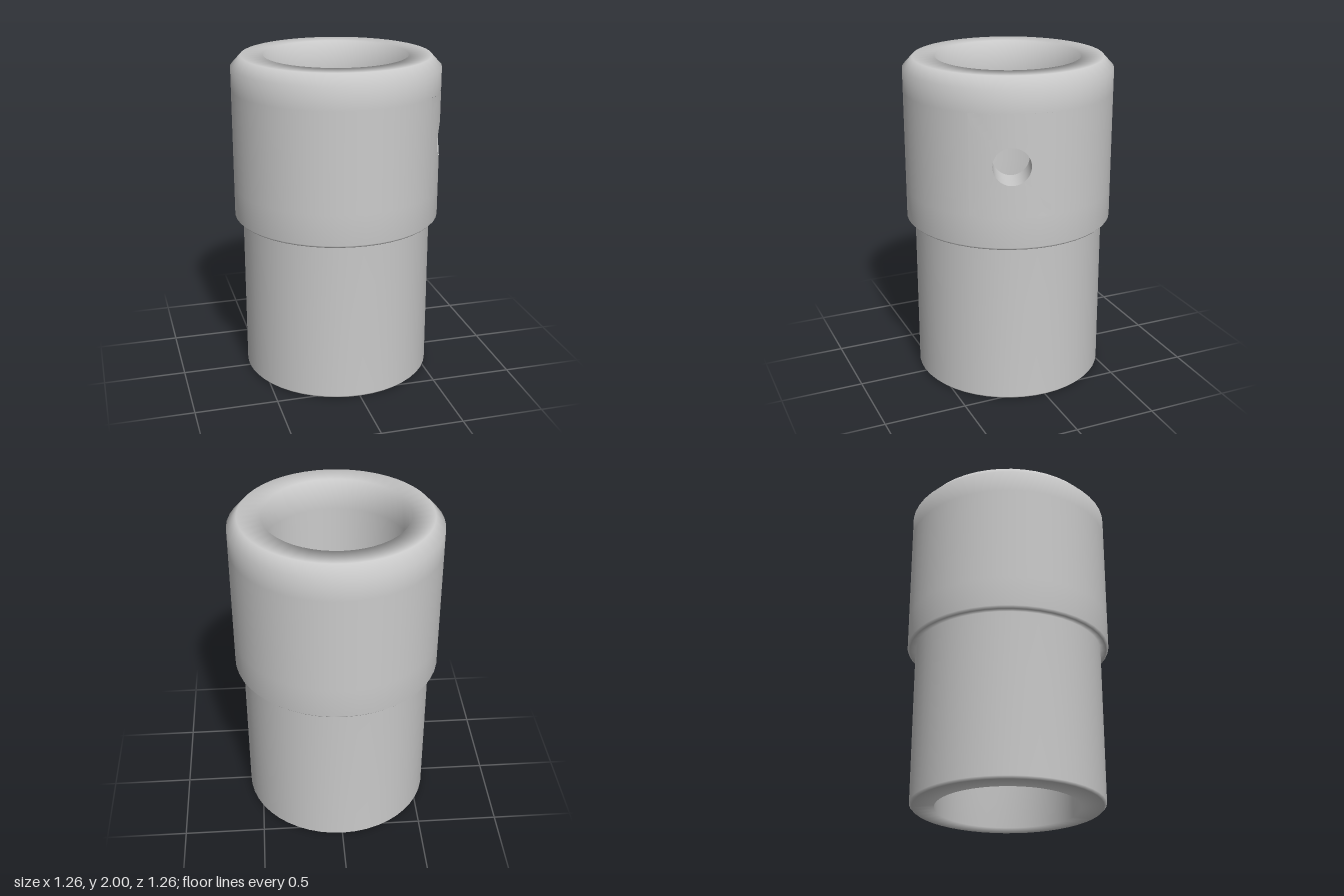
import * as THREE from 'three';

const COLLAR = 0.63, STEM = 0.58, BORE = 0.435;      // radii
const HOLE_R = 0.11, HOLE_Y = 1.5;                   // cross hole
const HOLE_PHI = THREE.MathUtils.degToRad(68.5);     // its direction around y, from +z
const HALF_ANGLE = Math.PI / 8, HALF_HEIGHT = 0.3;   // wall panel around the hole
const SEGMENTS = 48;

const material = new THREE.MeshStandardMaterial({ color: 0xcccccc });

function addMesh(group, name, geometry) {
  const mesh = new THREE.Mesh(geometry, material);
  mesh.name = name;
  group.add(mesh);
}

// Lathe around y that starts beside the hole panel; it may leave the panel out
function turned(profile, skipPanel = false) {
  const points = profile.map(([r, y]) => new THREE.Vector2(r, y));
  const sweep = Math.PI * 2 - (skipPanel ? 2 * HALF_ANGLE : 0);
  const count = skipPanel ? SEGMENTS * 7 / 8 : SEGMENTS;
  return new THREE.LatheGeometry(points, count, HOLE_PHI + HALF_ANGLE, sweep);
}

// Closed curves on a cylinder of radius r, as [angle, height, radius]
const panelEdge = (r) => (t) => {
  const c = Math.cos(t), s = Math.sin(t), m = Math.max(Math.abs(c), Math.abs(s));
  return [HOLE_PHI + HALF_ANGLE * c / m, HOLE_Y + HALF_HEIGHT * s / m, r];
};
const holeEdge = (r) => (t) =>
  [HOLE_PHI + Math.asin(HOLE_R * Math.cos(t) / r), HOLE_Y + HOLE_R * Math.sin(t), r];

// Surface between two such curves
function bridge(from, to, steps) {
  const positions = [], index = [];
  for (let i = 0; i <= steps; i++) {
    for (let k = 0; k < SEGMENTS; k++) {
      const t = k / SEGMENTS * Math.PI * 2, end = to(t);
      const [phi, y, r] = from(t).map((v, n) => THREE.MathUtils.lerp(v, end[n], i / steps));
      positions.push(r * Math.sin(phi), y, r * Math.cos(phi));
      if (i === steps) continue;
      const next = (k + 1) % SEGMENTS;
      const a = i * SEGMENTS + k, b = i * SEGMENTS + next;
      const c = b + SEGMENTS, d = a + SEGMENTS;
      index.push(a, b, d, b, c, d);
    }
  }
  const geometry = new THREE.BufferGeometry();
  geometry.setAttribute('position', new THREE.Float32BufferAttribute(positions, 3));
  geometry.setIndex(index);
  geometry.computeVertexNormals();
  return geometry;
}

export function createModel() {
  const group = new THREE.Group();
  group.name = 'sleeve';
  const low = HOLE_Y - HALF_HEIGHT, high = HOLE_Y + HALF_HEIGHT;

  // Stem with its bore, the step and the lower part of the collar
  addMesh(group, 'stem', turned([
    [BORE, low], [BORE, 0], [STEM - 0.015, 0], [STEM, 0.015], [STEM, 1],
    [COLLAR - 0.015, 1], [COLLAR, 1.015], [COLLAR, low],
  ]));

  // Chamfered top rim
  addMesh(group, 'rim', turned([
    [COLLAR, high], [COLLAR, 1.935], [0.57, 2], [BORE, 2], [BORE, high],
  ]));

  // Collar walls at the height of the hole
  addMesh(group, 'collarWall', turned([[COLLAR, low], [COLLAR, high]], true));
  addMesh(group, 'boreWall', turned([[BORE, high], [BORE, low]], true));

  // Curved panels with the radial screw hole running through to the bore
  addMesh(group, 'outerHolePanel', bridge(panelEdge(COLLAR), holeEdge(COLLAR), 4));
  addMesh(group, 'screwHole', bridge(holeEdge(COLLAR), holeEdge(BORE), 1));
  addMesh(group, 'innerHolePanel', bridge(holeEdge(BORE), panelEdge(BORE), 4));

  return group;
}
